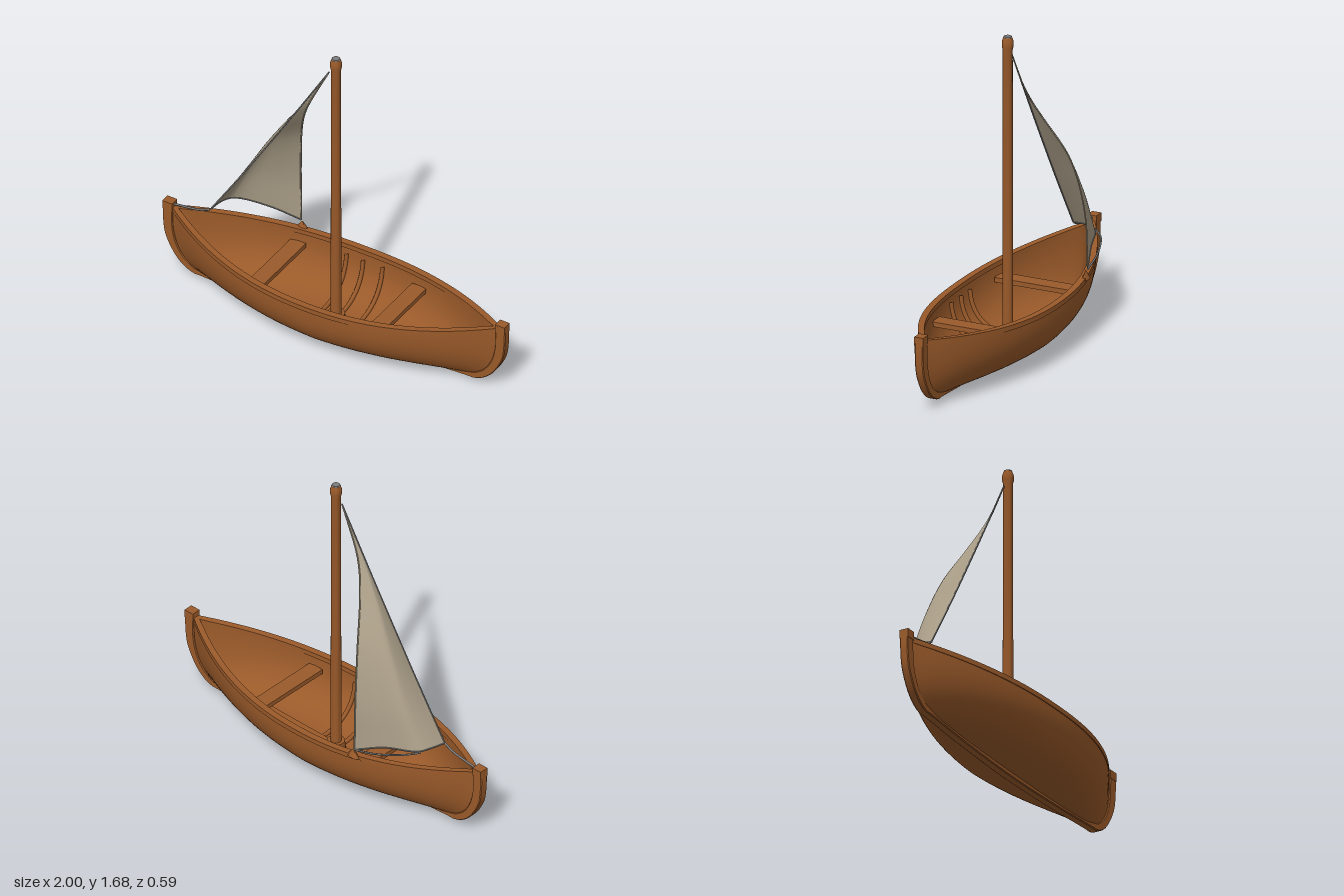
import * as THREE from 'three';
import { ParametricGeometry } from 'three/addons/geometries/ParametricGeometry.js';
import { toCreasedNormals } from 'three/addons/utils/BufferGeometryUtils.js';

const V = (x, y, z) => new THREE.Vector3(x, y, z);

// Hull lines: half-breadth, sheer height and bottom height along s = -1..1
const breadth = s => 0.29 * (1 - Math.pow(Math.abs(s), 2.2));
const sheer = s => 0.318 + 0.067 * s * s;
const bottom = s => 0.022 + 0.018 * s * s;

// Point on the hull section; t runs from one gunwale (-PI/2) under the keel to the other
function hullPoint(s, t, inset, target) {
  const e = 2 / (2.7 - 0.7 * Math.abs(s));
  const yb = bottom(s) + inset * 1.2;
  const h = 1 - Math.pow(Math.max(0, Math.cos(t)), e);
  const reach = 0.8 + 0.165 * Math.sqrt(1 - Math.pow(1 - h, 3)) - inset;
  const w = Math.max(breadth(s) - inset, 0.006);
  return target.set(s * reach, yb + (sheer(s) - yb) * h,
    Math.sign(t) * w * Math.pow(Math.abs(Math.sin(t)), e));
}

export function createModel() {
  const boat = new THREE.Group();
  boat.name = 'sailingBoat';
  const wood = new THREE.MeshStandardMaterial({ color: 0x9a5a2a });
  const canvas = new THREE.MeshStandardMaterial({ color: 0xa89c86, side: THREE.DoubleSide });
  const rope = new THREE.MeshStandardMaterial({ color: 0x7b7c7b });
  wood.name = 'wood';
  canvas.name = 'canvas';
  rope.name = 'rope';

  const add = (name, geometry, material, x = 0, y = 0, z = 0) => {
    const mesh = new THREE.Mesh(geometry, material);
    mesh.name = name;
    mesh.position.set(x, y, z);
    boat.add(mesh);
    return mesh;
  };
  const tube = (name, points, radius, material, segments = 32) =>
    add(name, new THREE.TubeGeometry(new THREE.CatmullRomCurve3(points), segments, radius, 6), material);

  // Outer and inner hull skins
  const skin = (inset, flip) => {
    const g = new ParametricGeometry((u, v, p) =>
      hullPoint(flip * (u * 2 - 1), (v - 0.5) * Math.PI, inset, p), 56, 36);
    g.computeVertexNormals();
    return g;
  };
  add('outerHull', skin(0, 1), wood);
  add('innerHull', skin(0.022, -1), wood);

  // Gunwale rails: a rectangular section swept along each sheer line
  const corners = [[0.005, 0.004], [-0.03, 0.004], [-0.03, -0.022], [0.005, -0.022]];
  for (const side of [1, -1]) {
    const rail = new ParametricGeometry((u, v, p) => {
      const s = u * 2 - 1;
      const i = Math.round(v * 4);
      const [dz, dy] = corners[(side > 0 ? i : 4 - i) % 4];
      p.set(s * 0.962, sheer(s) + dy, side * Math.max(breadth(s) + dz, 0));
    }, 48, 4);
    add(side > 0 ? 'frontGunwale' : 'backGunwale', toCreasedNormals(rail, 0.6), wood);
  }

  // Keel running up into both stems, as one flat curved timber
  const outer = [[1, 0.405], [1, 0.31], [0.985, 0.21], [0.935, 0.115], [0.88, 0.06], [0.82, 0.033],
    [0.75, 0.03], [0.4, 0.01], [0, 0]];
  const inner = [[0, 0.045], [0.4, 0.05], [0.75, 0.06], [0.85, 0.09], [0.91, 0.16], [0.94, 0.26], [0.945, 0.405]];
  const vec = list => list.map(([x, y]) => new THREE.Vector2(x, y));
  const mirrored = list => list.map(([x, y]) => [-x, y]).reverse();
  const path = new THREE.Shape();
  path.moveTo(1, 0.405);
  path.splineThru(vec([...outer, ...mirrored(outer).slice(1)].slice(1)));
  path.lineTo(-0.945, 0.405);
  path.splineThru(vec([...mirrored(inner), ...inner.slice(1)].slice(1)));
  const keel = new THREE.ExtrudeGeometry(path, { depth: 0.036, curveSegments: 60,
    bevelThickness: 0.005, bevelSize: 0.004, bevelOffset: -0.004, bevelSegments: 1 });
  add('keelAndStems', toCreasedNormals(keel, 0.5), wood, 0, 0, -0.018);
  for (const side of [1, -1]) {
    add('stemHead', new THREE.BoxGeometry(0.056, 0.045, 0.05), wood, side * 0.972, 0.393, 0);
  }

  // Bent ribs, keelson and thwarts
  for (const x of [-0.1, -0.005, 0.11]) {
    const pts = [];
    for (let i = 0; i <= 24; i++) pts.push(hullPoint(x / 0.96, (i / 24 - 0.5) * 2.9, 0.026, V(0, 0, 0)).setX(x));
    tube('rib', pts, 0.012, wood, 48);
  }
  const keelson = new ParametricGeometry((u, v, p) => {
    const s = u * 2 - 1;
    p.set(s * 0.84, bottom(s) + 0.045, (0.5 - v) * 0.04);
  }, 24, 1);
  add('keelson', keelson, wood);
  add('foreThwart', new THREE.BoxGeometry(0.085, 0.025, 0.46), wood, -0.36, 0.245, 0);
  add('aftThwart', new THREE.BoxGeometry(0.085, 0.025, 0.46), wood, 0.345, 0.245, 0);

  // Mast with rounded head, pale cap and step
  const mastProfile = [[0, 0.03], [0.027, 0.03], [0.025, 1.61], [0.029, 1.625], [0.029, 1.655], [0.022, 1.675], [0, 1.678]];
  add('mast', toCreasedNormals(new THREE.LatheGeometry(vec(mastProfile), 24), 0.7), wood);
  add('mastCap', new THREE.CylinderGeometry(0.019, 0.022, 0.005, 20), rope, 0, 1.678, 0);
  add('mastStep', new THREE.CylinderGeometry(0.045, 0.05, 0.05, 20), wood, 0, 0.075, 0);

  // Sail: luff and leech curves joined by rows that take the belly of the foot
  const head = V(-0.04, 1.58, 0), tack = V(-0.735, 0.45, 0), clew = V(-0.365, 0.365, -0.262);
  const luff = new THREE.CatmullRomCurve3([head, V(-0.29, 1.16, 0), V(-0.53, 0.77, 0), tack]);
  const leech = new THREE.CatmullRomCurve3([head, V(-0.17, 1.32, -0.025), V(-0.24, 1.17, -0.085),
    V(-0.32, 0.95, -0.19), V(-0.36, 0.66, -0.25), clew]);
  const foot = new THREE.CatmullRomCurve3([tack, V(-0.72, 0.455, -0.08), V(-0.685, 0.45, -0.145),
    V(-0.52, 0.425, -0.205), clew]);
  const sail = new ParametricGeometry((u, v, p) => {
    const a = luff.getPoint(v), b = leech.getPoint(v);
    const belly = foot.getPoint(u).sub(V(0, 0, 0).lerpVectors(tack, clew, u));
    p.lerpVectors(a, b, u).addScaledVector(belly, Math.pow(v, 1.6));
  }, 20, 36);
  sail.computeVertexNormals();
  add('sail', sail, canvas);

  // Edge ropes and lines
  tube('luffRope', luff.getPoints(12), 0.004, rope);
  tube('leechRope', leech.getPoints(12), 0.004, canvas);
  tube('footRope', foot.getPoints(12), 0.004, rope);
  tube('tackLine', [tack, V(-0.79, 0.425, 0), V(-0.87, 0.41, 0), V(-0.955, 0.4, 0)], 0.006, rope);
  tube('sheetLine', [V(-0.7, 0.448, -0.14), V(-0.63, 0.435, -0.205), V(-0.5, 0.4, -0.25), clew], 0.005, rope);

  // Cleat on the rail holding the sail's lower corner
  add('cleat', new THREE.ConeGeometry(0.04, 0.05, 8), wood, -0.355, 0.342, -0.257).scale.z = 0.45;
  return boat;
}
